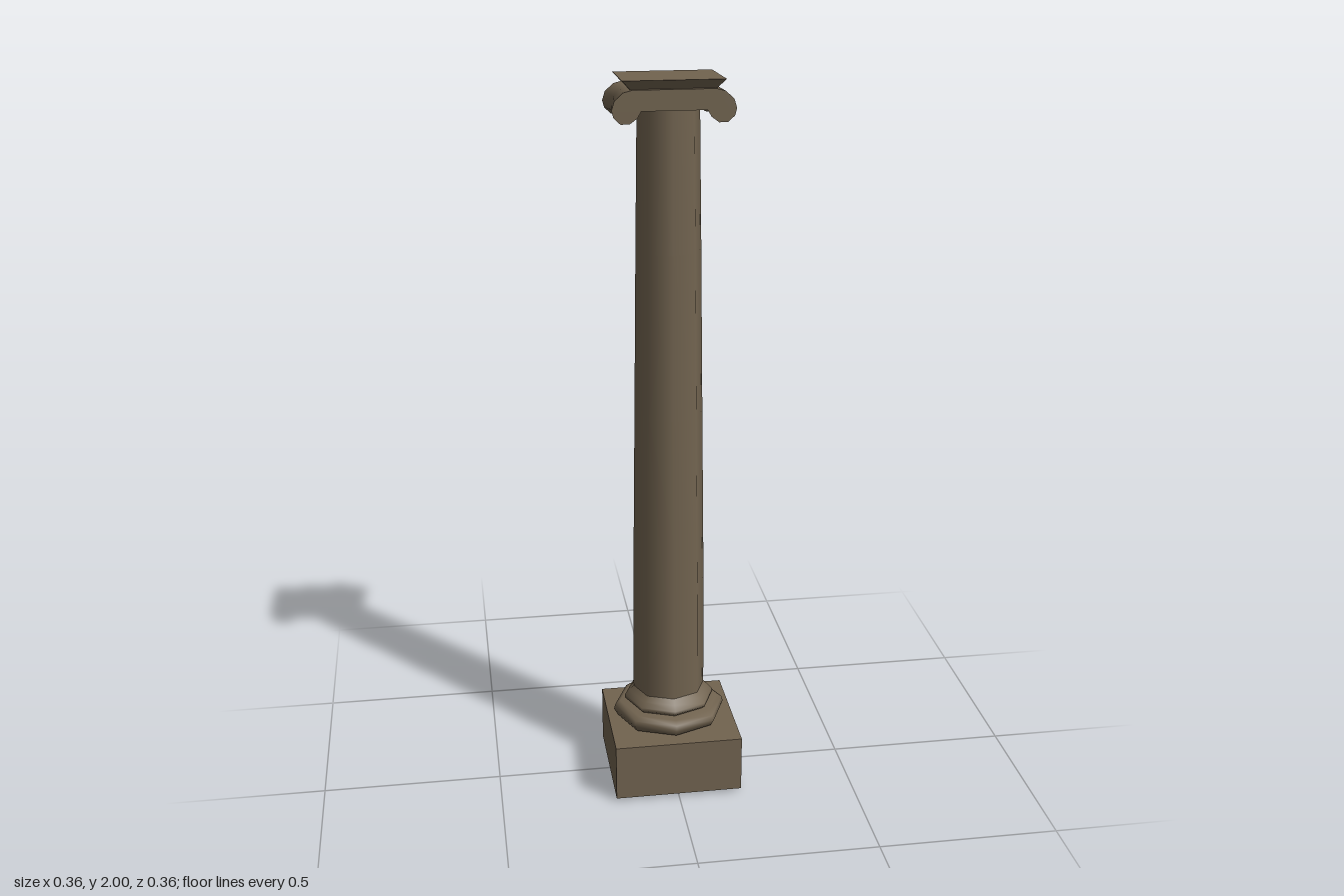
import * as THREE from 'three';
import { toCreasedNormals } from 'three/addons/utils/BufferGeometryUtils.js';

const SIDES = 8;
const CX = -0.003, CZ = -0.006; // axis of the column
const LEAN = 0.028; // front edges sit slightly higher than back edges

export function createModel() {
  const group = new THREE.Group();
  const stone = new THREE.MeshStandardMaterial({ color: 0x726450 });
  stone.name = 'stone';

  const shear = new THREE.Matrix4().set(1, 0, 0, 0, 0, 1, LEAN, 0, 0, 0, 1, 0, 0, 0, 0, 1);
  const add = (name, geometry, x = CX, z = CZ) => {
    geometry.translate(x, 0, z).applyMatrix4(shear);
    const mesh = new THREE.Mesh(geometry, stone);
    mesh.name = name;
    group.add(mesh);
  };
  const lathe = (points) =>
    new THREE.LatheGeometry(points.map(([r, y]) => new THREE.Vector2(r, y)), SIDES);

  // square block under the column
  add('plinth', new THREE.BoxGeometry(0.358, 0.162, 0.358).translate(0, 0.086, 0), 0, 0);

  // two stacked eight-sided mouldings
  add('lowerMoulding', lathe([
    [0.13, 0.165], [0.15, 0.175], [0.16, 0.193], [0.156, 0.208], [0.142, 0.219], [0.1, 0.222],
  ]));
  add('upperMoulding', lathe([
    [0.118, 0.22], [0.128, 0.229], [0.127, 0.238], [0.114, 0.252], [0.1, 0.268],
  ]));

  // gently tapering shaft
  add('shaft', lathe([[0.102, 0.22], [0.1, 0.6], [0.093, 1.1], [0.087, 1.55], [0.081, 1.94]]));

  // scroll capital, drawn as a mirrored outline and pinched halfway back
  const half = [
    [0.083, 1.922], [0.093, 1.905], [0.112, 1.891], [0.135, 1.891],
    [0.152, 1.907], [0.157, 1.925], [0.15, 1.948], [0.128, 1.968], [0.105, 1.974],
  ];
  const outline = [...half, ...half.map(([x, y]) => [-x, y]).reverse()];
  const shape = new THREE.Shape(outline.map(([x, y]) => new THREE.Vector2(x, y)));
  const depth = 0.208;
  const capital = new THREE.ExtrudeGeometry(shape, { depth, steps: 2, bevelEnabled: false });
  capital.translate(0, 0, -depth / 2);
  const p = capital.attributes.position;
  for (let i = 0; i < p.count; i++) {
    if (Math.abs(p.getZ(i)) > 0.01) continue;
    const s = Math.sign(p.getX(i));
    p.setX(i, s * (0.115 + (Math.abs(p.getX(i)) - 0.115) * 0.72));
    if (p.getY(i) < 1.93) p.setY(i, 1.93 + (p.getY(i) - 1.93) * 0.72);
  }
  add('scrollCapital', toCreasedNormals(capital, 0.9));

  // flared top slab
  const slab = new THREE.BoxGeometry(0.26, 0.026, 0.212).translate(0, 1.984, 0);
  const q = slab.attributes.position;
  for (let i = 0; i < q.count; i++) {
    if (q.getY(i) < 1.984) q.setXYZ(i, q.getX(i) * 0.82, q.getY(i), q.getZ(i) * 0.82);
  }
  add('topSlab', toCreasedNormals(slab, 0.5));

  return group;
}
